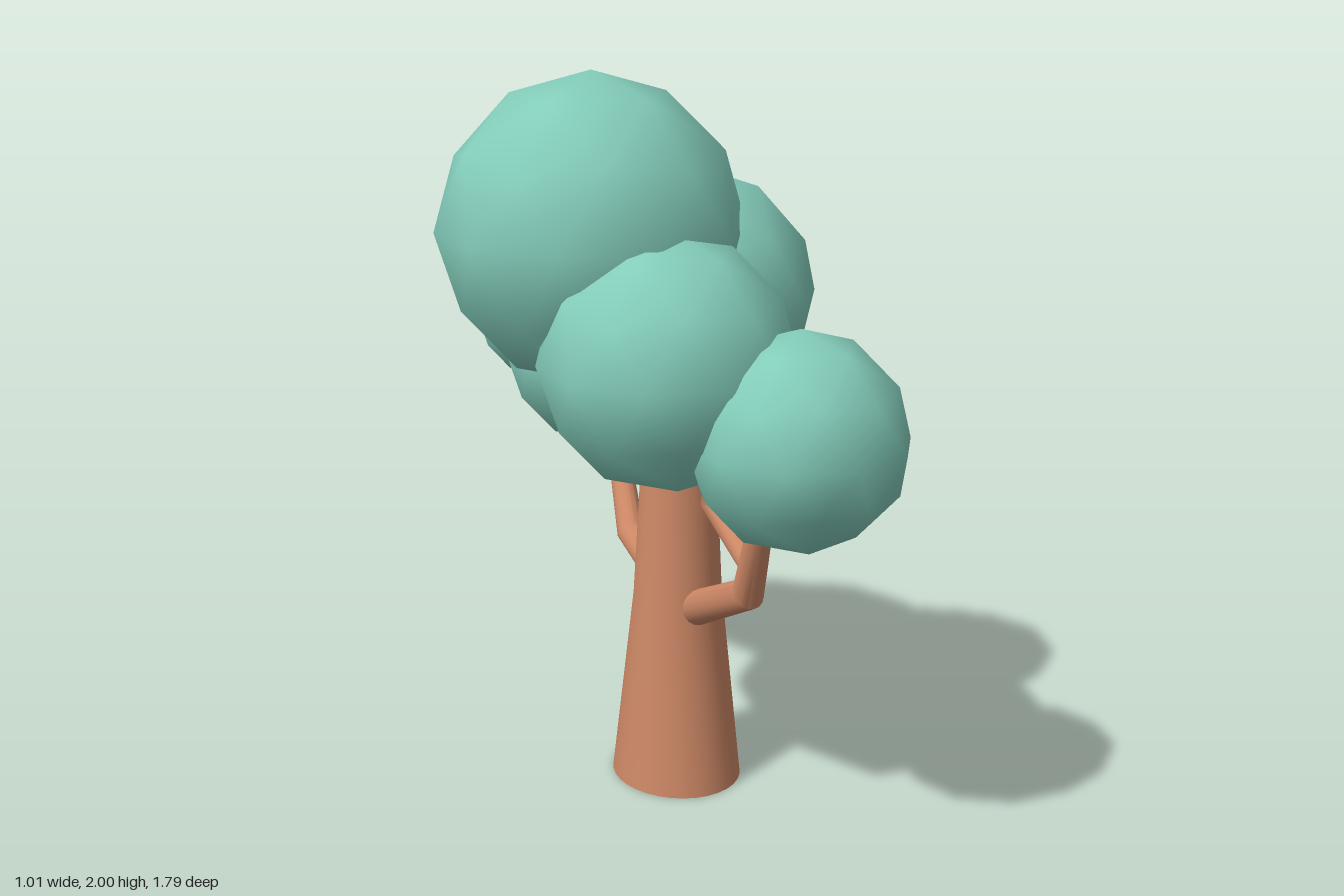
import * as THREE from 'three';
import { toCreasedNormals } from 'three/addons/utils/BufferGeometryUtils.js';

const bark = new THREE.MeshStandardMaterial({ color: 0xcd8866 });
const leaf = new THREE.MeshStandardMaterial({ color: 0x84cdbb });

function addMesh(group, name, geometry, material) {
  const mesh = new THREE.Mesh(geometry, material);
  mesh.name = name;
  group.add(mesh);
  return mesh;
}

// Tapered limb along straight segments with mitred bends; points are [x, y, z, radius]
function limbGeometry(points, sides = 16) {
  const pts = points.map(([x, y, z]) => new THREE.Vector3(x, y, z));
  const dirs = pts.slice(1).map((p, i) => p.clone().sub(pts[i]).normalize());
  const u = new THREE.Vector3(1, 0, 0).cross(dirs[0]).normalize();
  const v = dirs[0].clone().cross(u);
  let ring = [];
  for (let j = 0; j < sides; j++) {
    const a = (j / sides) * Math.PI * 2;
    ring.push(u.clone().multiplyScalar(Math.cos(a)).addScaledVector(v, Math.sin(a)));
  }
  // slide an offset along a direction onto the plane with the given normal
  const slide = (o, d, n) => o.clone().addScaledVector(d, -o.dot(n) / d.dot(n));
  const pos = [], index = [], last = pts.length - 1;
  pts.forEach((p, i) => {
    const din = dirs[Math.max(i - 1, 0)], dout = dirs[Math.min(i, last - 1)];
    const n = din.clone().add(dout).normalize();
    const mitred = ring.map((o) => slide(o, din, n));
    mitred.forEach((o) => pos.push(...p.clone().addScaledVector(o, points[i][3]).toArray()));
    ring = mitred.map((o) => slide(o, dout, dout));
  });
  const startCap = pos.length / 3, endCap = startCap + 1;
  pos.push(...pts[0].toArray(), ...pts[last].toArray());
  for (let j = 0; j < sides; j++) {
    const k = (j + 1) % sides;
    for (let i = 0; i < last; i++) {
      const a = i * sides + j, b = i * sides + k;
      index.push(a, b, b + sides, a, b + sides, a + sides);
    }
    index.push(startCap, k, j, endCap, last * sides + j, last * sides + k);
  }
  const g = new THREE.BufferGeometry();
  g.setAttribute('position', new THREE.Float32BufferAttribute(pos, 3));
  g.setIndex(index);
  return toCreasedNormals(g, 0.6);
}

export function createModel() {
  const tree = new THREE.Group();
  tree.name = 'tree';

  // Trunk: flared, slightly oval at the foot
  const profile = [[0, 0], [0.197, 0], [0.124, 0.55], [0.09, 1.2], [0, 1.2]]
    .map(([r, y]) => new THREE.Vector2(r, y));
  const trunkGeo = new THREE.LatheGeometry(profile, 32);
  const p = trunkGeo.attributes.position;
  for (let i = 0; i < p.count; i++) if (p.getY(i) < 0.01) p.setX(i, p.getX(i) * 0.91);
  const trunk = addMesh(tree, 'trunk', toCreasedNormals(trunkGeo, 0.8), bark);
  trunk.position.x = 0.148;

  // Branches
  const limbs = {
    frontBranch: [[0.155, 0.52, 0.08, 0.05], [0.135, 0.69, 0.425, 0.042], [0.115, 0.92, 0.52, 0.033], [0.115, 1.0, 0.55, 0.03]],
    frontTwig: [[0.125, 0.78, 0.46, 0.032], [0.11, 0.895, 0.27, 0.031], [0.085, 1.035, 0.315, 0.028]],
    backBranch: [[0.15, 0.55, -0.08, 0.048], [0.135, 0.635, -0.28, 0.04], [0.18, 0.88, -0.48, 0.03], [0.19, 0.98, -0.56, 0.028]],
  };
  for (const [name, pts] of Object.entries(limbs)) addMesh(tree, name, limbGeometry(pts), bark);

  // Foliage: smooth-shaded icospheres with a vertex at the pole
  const ball = new THREE.IcosahedronGeometry(1, 1);
  ball.rotateX(-Math.atan((1 + Math.sqrt(5)) / 2));
  ball.rotateY(Math.PI / 2);
  const foliage = new THREE.Group();
  foliage.name = 'foliage';
  tree.add(foliage);
  // name, centre x y z, radius, turn about y
  const clumps = [
    ['crownClump', -0.122, 1.595, 0.025, 0.405, 0],
    ['leftClump', 0.175, 1.397, 0.0, 0.343, Math.PI],
    ['frontClump', -0.06, 1.31, 0.345, 0.33, 0],
    ['lowerFrontClump', 0.16, 1.15, 0.615, 0.28, 0],
    ['backClump', 0.0, 1.385, -0.375, 0.285, 0],
    ['lowerBackClump', 0.16, 1.13, -0.54, 0.286, 0],
    ['smallBackClump', 0.035, 1.21, -0.71, 0.188, 0],
  ];
  for (const [name, x, y, z, r, turn] of clumps) {
    const clump = addMesh(foliage, name, ball, leaf);
    clump.position.set(x, y, z);
    clump.scale.setScalar(r);
    clump.rotation.y = turn;
  }
  return tree;
}
